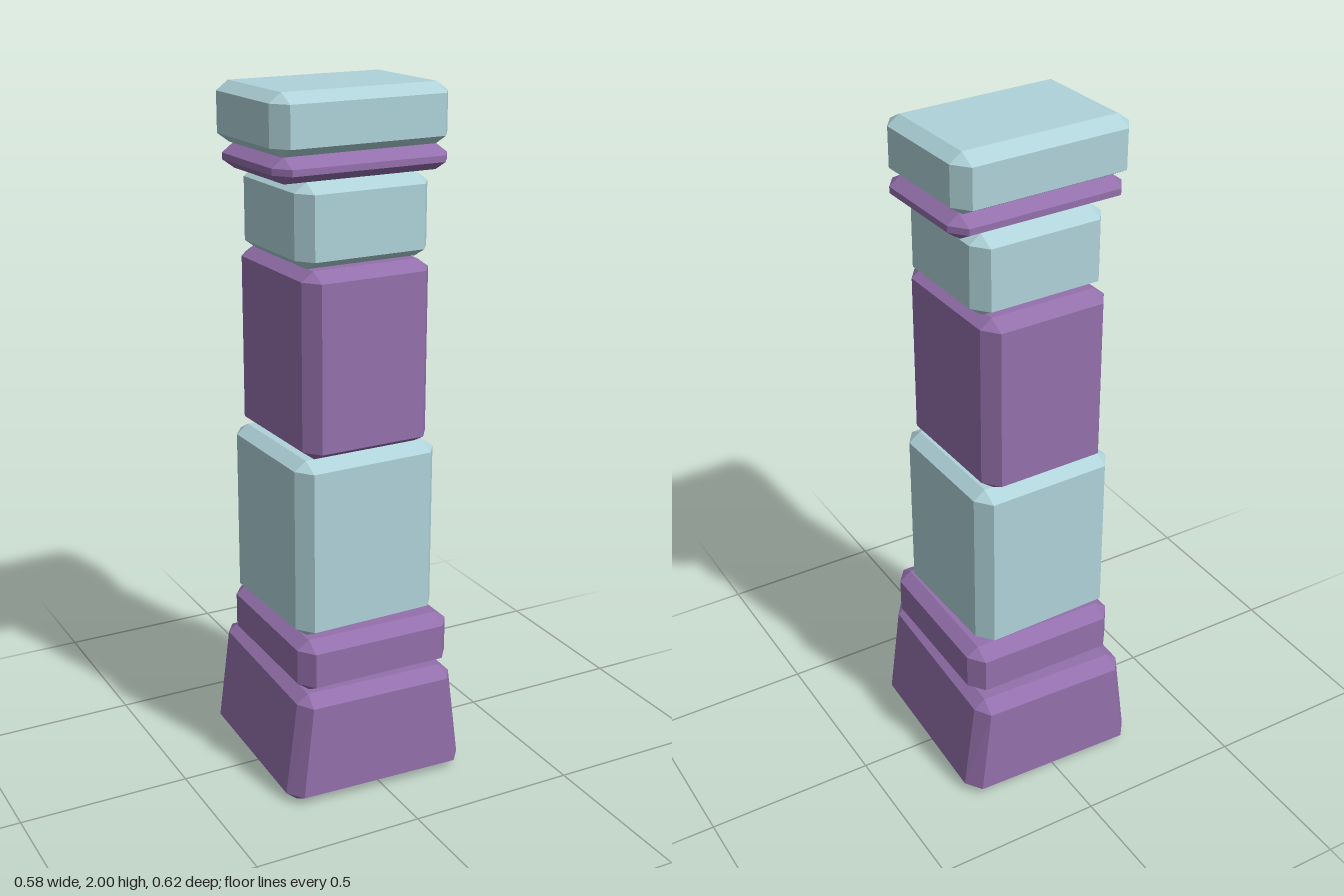
import * as THREE from 'three';
import { ConvexGeometry } from 'three/addons/geometries/ConvexGeometry.js';

const stone = {
  purple: new THREE.MeshStandardMaterial({ color: 0x9470ac, flatShading: true }),
  teal: new THREE.MeshStandardMaterial({ color: 0xafd3d9, flatShading: true }),
};

// Box with every edge and corner cut off; taper narrows the x width towards the top
function chamferedBlock(hx, hy, hz, taper = 1) {
  const cx = 0.036, cy = 0.026, cz = 0.048;
  const points = [];
  for (const sx of [-1, 1]) for (const sy of [-1, 1]) for (const sz of [-1, 1]) {
    for (const [ix, iy, iz] of [[0, cy, cz], [cx, 0, cz], [cx, cy, 0]]) {
      const y = sy * (hy - iy);
      const width = THREE.MathUtils.lerp(1, taper, (y + hy) / (2 * hy));
      points.push(new THREE.Vector3(sx * (hx - ix) * width, y, sz * (hz - iz)));
    }
  }
  return new ConvexGeometry(points);
}

// Stacked stones, bottom to top: each slightly shifted and twisted
const blocks = [
  { name: 'base', color: 'purple', y: [0, 0.33], hx: 0.283, hz: 0.304, at: [0, 0], twist: -0.035, taper: 0.85 },
  { name: 'baseCollar', color: 'purple', y: [0.33, 0.485], hx: 0.24, hz: 0.26, at: [0.003, 0.015], twist: -0.01 },
  { name: 'lowerShaft', color: 'teal', y: [0.485, 1.01], hx: 0.222, hz: 0.227, at: [-0.012, 0.01], twist: 0.027 },
  { name: 'upperShaft', color: 'purple', y: [1.01, 1.535], hx: 0.196, hz: 0.226, at: [-0.012, 0.01], twist: 0.027 },
  { name: 'neck', color: 'teal', y: [1.535, 1.765], hx: 0.204, hz: 0.195, at: [-0.008, 0.01], twist: 0.03 },
  { name: 'capRing', color: 'purple', y: [1.765, 1.835], hx: 0.268, hz: 0.193, at: [-0.009, 0.01], twist: 0.035 },
  { name: 'cap', color: 'teal', y: [1.835, 2], hx: 0.271, hz: 0.199, at: [-0.0145, 0.0065], twist: 0.041 },
];

export function createModel() {
  const pillar = new THREE.Group();
  pillar.name = 'pillar';
  for (const { name, color, y, hx, hz, at, twist, taper } of blocks) {
    const block = new THREE.Mesh(chamferedBlock(hx, (y[1] - y[0]) / 2, hz, taper), stone[color]);
    block.name = name;
    block.position.set(at[0], (y[0] + y[1]) / 2, at[1]);
    block.rotation.y = twist;
    pillar.add(block);
  }
  return pillar;
}
